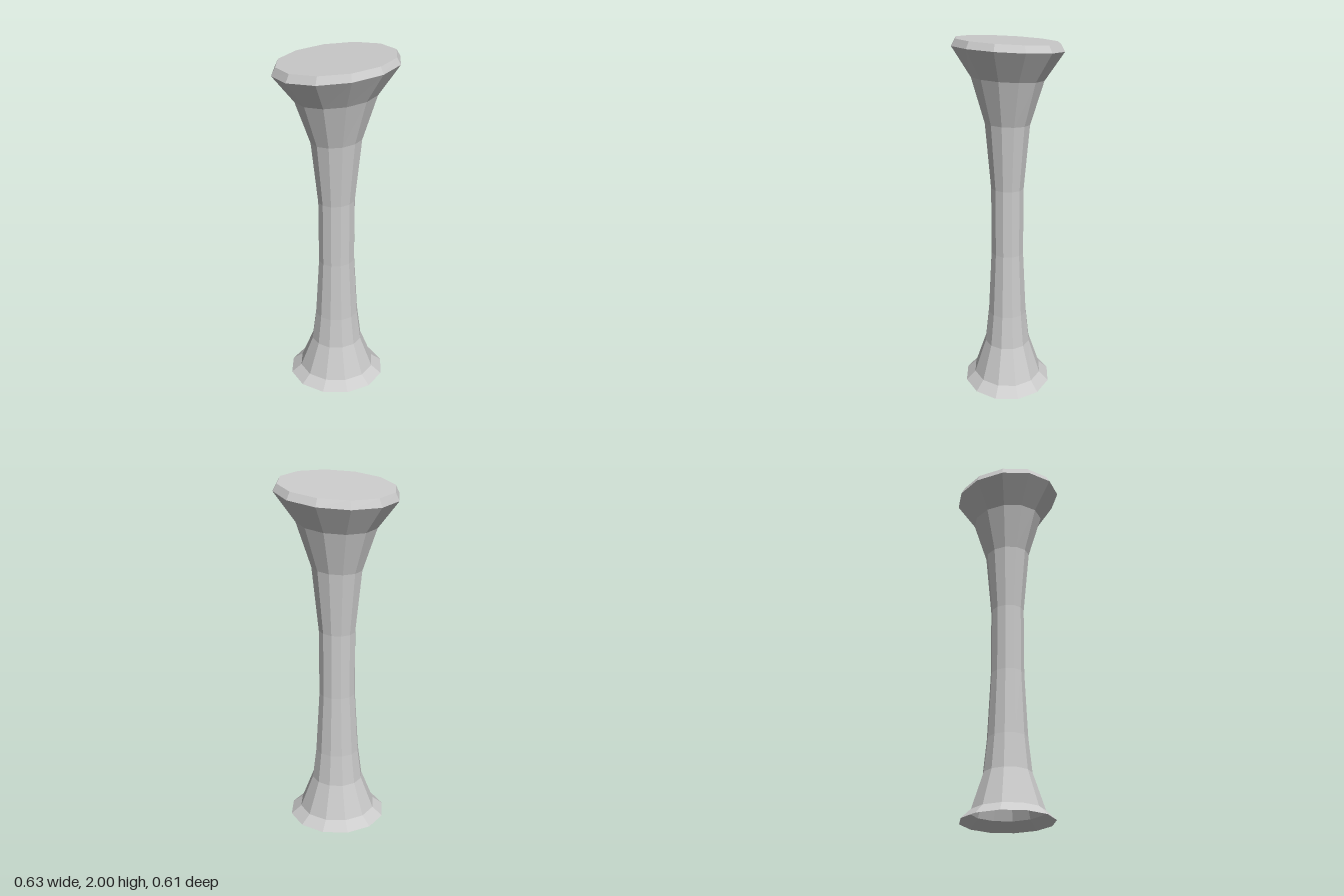
import * as THREE from 'three';

const SIDES = 12;

// Cross-sections from the foot up:
// height, x radius, z radius, skew of z along x, slope of y along x, slope of y along z
const RINGS = [
  [0, 0.277, 0.25, 0.02, 0, 0],
  [0.05, 0.218, 0.197, 0.016, 0, 0],
  [0.247, 0.145, 0.131, 0.011, 0.01, 0],
  [0.435, 0.122, 0.111, 0.01, 0.02, 0],
  [0.8, 0.1, 0.093, 0.009, 0.03, 0],
  [1.18, 0.1, 0.093, 0.009, 0.05, 0],
  [1.54, 0.135, 0.126, 0.013, 0.08, 0.01],
  [1.78, 0.21, 0.2, 0.022, 0.095, 0.02],
  [1.935, 0.317, 0.304, 0.035, 0.095, 0.02],
  [1.974, 0.297, 0.282, 0.033, 0.088, 0.02],
];

// Corner i of a tilted, slightly skewed elliptical ring
function corner([y, rx, rz, skew, slopeX, slopeZ], i) {
  const t = (i / SIDES) * Math.PI * 2;
  const x = rx * Math.cos(t);
  const z = -skew * Math.cos(t) - rz * Math.sin(t);
  return [x, y + slopeX * x + slopeZ * z, z];
}

function facetedMesh(name, points) {
  const geometry = new THREE.BufferGeometry();
  geometry.setAttribute('position', new THREE.Float32BufferAttribute(points.flat(), 3));
  geometry.computeVertexNormals();
  const material = new THREE.MeshStandardMaterial({
    color: 0xcccccc, flatShading: true, side: THREE.DoubleSide,
  });
  const mesh = new THREE.Mesh(geometry, material);
  mesh.name = name;
  return mesh;
}

// Band of facets joining each ring to the next
function loft(rings) {
  const points = [];
  for (let j = 0; j < rings.length - 1; j++) {
    for (let i = 0; i < SIDES; i++) {
      const a = corner(rings[j], i), b = corner(rings[j], i + 1);
      const c = corner(rings[j + 1], i + 1), d = corner(rings[j + 1], i);
      points.push(a, b, c, a, c, d);
    }
  }
  return points;
}

export function createModel() {
  const group = new THREE.Group();
  group.name = 'pedestal';

  // Flared foot, open underneath
  group.add(facetedMesh('foot', loft(RINGS.slice(0, 2))));

  // Waisted column
  group.add(facetedMesh('column', loft(RINGS.slice(1, 9))));

  // Bevelled rim of the tilted top
  group.add(facetedMesh('rim', loft(RINGS.slice(8))));

  // Flat tilted top
  const top = RINGS[RINGS.length - 1];
  const fan = [];
  for (let i = 0; i < SIDES; i++) fan.push([0, top[0], 0], corner(top, i), corner(top, i + 1));
  group.add(facetedMesh('top', fan));

  return group;
}
